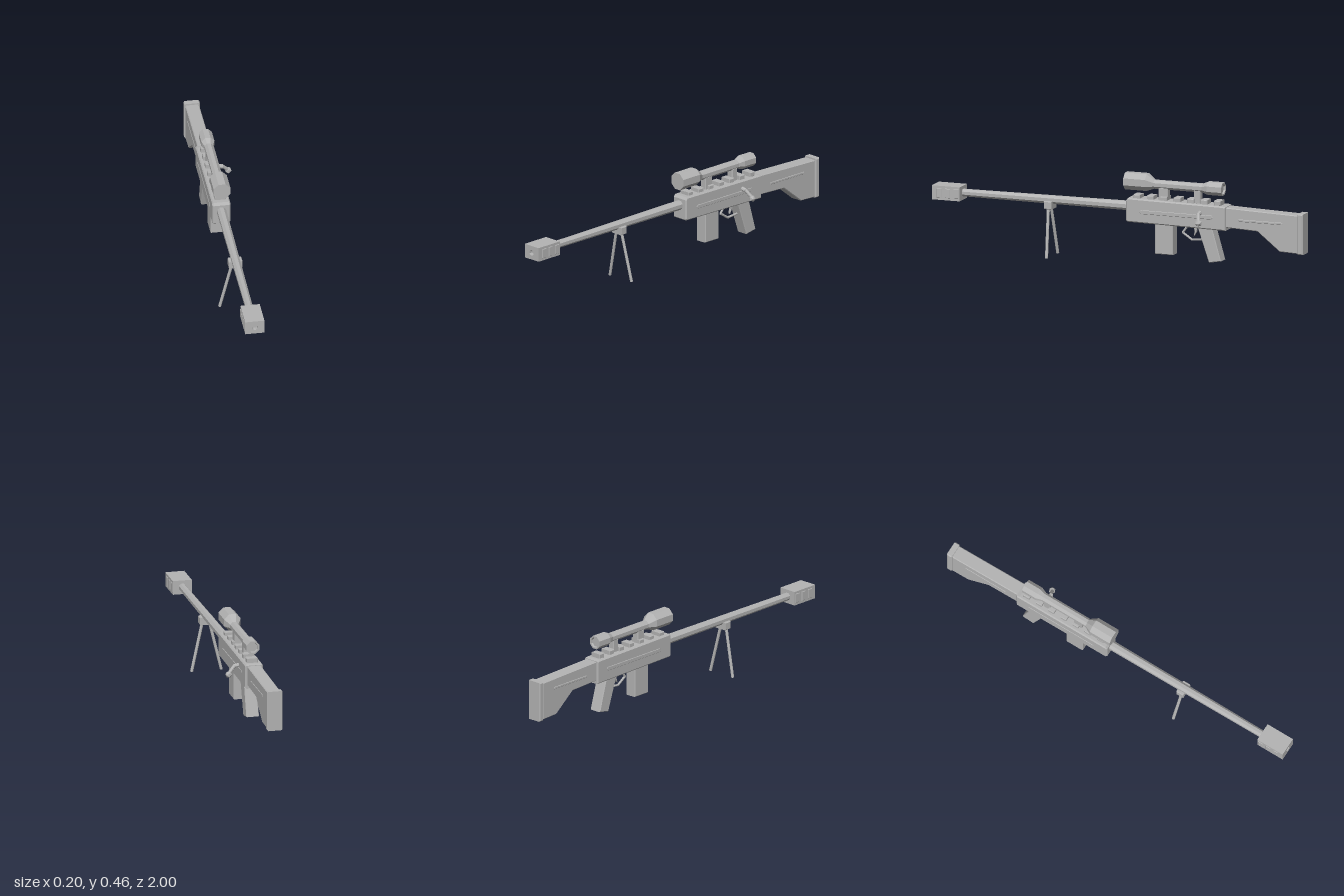
import * as THREE from 'three';

const metal = new THREE.MeshStandardMaterial({ color: 0xb4b4b4 });
metal.name = 'plainGrey';

function add(parent, name, geometry) {
  const mesh = new THREE.Mesh(geometry, metal);
  mesh.name = name;
  parent.add(mesh);
  return mesh;
}

// Side profile of [z, y] points, extruded across x with bevelled edges
function slab(points, width, bevel = 0.004) {
  const shape = new THREE.Shape(points.map(([z, y]) => new THREE.Vector2(z, y)));
  const g = new THREE.ExtrudeGeometry(shape, {
    depth: width - 2 * bevel, bevelEnabled: true, bevelSegments: 1,
    bevelSize: bevel, bevelThickness: bevel, bevelOffset: -bevel,
  });
  g.translate(0, 0, -(width - 2 * bevel) / 2);
  return g.rotateY(-Math.PI / 2);
}

const block = (z0, z1, y0, y1, width, bevel) =>
  slab([[z0, y0], [z1, y0], [z1, y1], [z0, y1]], width, bevel);

// Eight-sided flat-shaded tube through rings of [z, centre y, half width], front to back
function octTube(rings) {
  const pos = [];
  const point = ([z, cy, r], i) => {
    const a = (i + 0.5) * Math.PI / 4, c = r / Math.cos(Math.PI / 8);
    return [c * Math.cos(a), cy + c * Math.sin(a), z];
  };
  for (let k = 0; k < rings.length - 1; k++) {
    for (let i = 0; i < 8; i++) {
      const a = point(rings[k], i), b = point(rings[k], i + 1);
      const c = point(rings[k + 1], i), d = point(rings[k + 1], i + 1);
      pos.push(...a, ...c, ...b, ...b, ...c, ...d);
    }
  }
  const g = new THREE.BufferGeometry();
  g.setAttribute('position', new THREE.Float32BufferAttribute(pos, 3));
  g.computeVertexNormals();
  return g;
}

// Straight faceted rod between two points
function rod(a, b, r, sides = 8) {
  const p = new THREE.Vector3(...a), q = new THREE.Vector3(...b);
  const d = q.clone().sub(p);
  const g = new THREE.CylinderGeometry(r, r, d.length(), sides).toNonIndexed();
  g.computeVertexNormals();
  g.applyQuaternion(new THREE.Quaternion().setFromUnitVectors(
    new THREE.Vector3(0, 1, 0), d.normalize()));
  return g.translate(...p.add(q).multiplyScalar(0.5).toArray());
}

export function createModel() {
  const root = new THREE.Group();
  root.name = 'rifle';
  const body = new THREE.Group();
  body.name = 'body';
  body.position.x = -0.018;
  root.add(body);

  // Muzzle block with an eight-sided bore and raised side ribs
  const face = new THREE.Shape([[-0.049, 0.253], [0.049, 0.253], [0.049, 0.325], [-0.049, 0.325]]
    .map(([x, y]) => new THREE.Vector2(x, y)));
  const bore = [];
  for (let i = 0; i < 8; i++) {
    const a = (i + 0.5) * Math.PI / 4;
    bore.push(new THREE.Vector2(0.016 * Math.cos(a), 0.289 + 0.016 * Math.sin(a)));
  }
  face.holes.push(new THREE.Path(bore));
  add(body, 'muzzleBlock', new THREE.ExtrudeGeometry(face, { depth: 0.15, bevelEnabled: false }))
    .position.z = 0.85;
  for (const z of [0.96, 0.915, 0.87]) {
    add(body, 'muzzleRib', block(z - 0.014, z + 0.014, 0.265, 0.313, 0.104, 0.002));
  }

  // Tapered barrel
  add(body, 'barrel', octTube([
    [0.98, 0.29, 0], [0.98, 0.29, 0.017], [0.85, 0.29, 0.018], [-0.06, 0.291, 0.023],
  ]));

  // Receiver with raised side strips
  add(body, 'receiver', slab([
    [-0.045, 0.222], [-0.052, 0.216], [-0.582, 0.208], [-0.582, 0.329],
    [-0.565, 0.332], [-0.055, 0.338], [-0.045, 0.325],
  ].reverse(), 0.092, 0.006));
  add(body, 'receiverStrip', slab([
    [-0.12, 0.272], [-0.126, 0.282], [-0.508, 0.282],
    [-0.514, 0.272], [-0.508, 0.262], [-0.126, 0.262],
  ], 0.096, 0.002));

  // Rail teeth along the top
  for (let i = 0; i < 7; i++) {
    const z = -0.097 - i * 0.0725;
    add(body, 'railTooth', block(z - 0.018, z + 0.018, 0.33, 0.355, 0.058, 0.003));
  }

  // Scope and its two mounts
  add(body, 'scope', octTube([
    [-0.03, 0.419, 0], [-0.03, 0.419, 0.043], [-0.147, 0.419, 0.043], [-0.185, 0.411, 0.022],
    [-0.445, 0.411, 0.022], [-0.475, 0.413, 0.033], [-0.555, 0.413, 0.033],
    [-0.555, 0.413, 0.025], [-0.545, 0.413, 0.023], [-0.545, 0.413, 0],
  ]));
  add(body, 'frontScopeMount', block(-0.26, -0.21, 0.33, 0.4, 0.036));
  add(body, 'rearScopeMount', block(-0.437, -0.4, 0.33, 0.4, 0.036));

  // Stock, raised strips and butt pad
  add(body, 'stock', slab([
    [-0.575, 0.326], [-0.97, 0.314], [-0.97, 0.118], [-0.87, 0.122],
    [-0.75, 0.217], [-0.575, 0.224],
  ], 0.07, 0.004));
  add(body, 'stockStrip', block(-0.89, -0.65, 0.26, 0.272, 0.074, 0.002));
  add(body, 'buttPad', block(-0.998, -0.968, 0.115, 0.322, 0.08, 0.005));

  // Magazine, grip, trigger and guard
  add(body, 'magazine', block(-0.294, -0.197, 0.06, 0.22, 0.064));
  add(body, 'grip', slab([
    [-0.427, 0.215], [-0.505, 0.215], [-0.553, 0.048], [-0.488, 0.036],
  ], 0.066));
  const guard = [[-0.365, 0.215], [-0.335, 0.175], [-0.385, 0.142], [-0.46, 0.148]];
  for (let i = 0; i < 3; i++) {
    add(body, 'triggerGuard', rod([0, guard[i][1], guard[i][0]],
      [0, guard[i + 1][1], guard[i + 1][0]], 0.006));
  }
  add(body, 'trigger', slab([
    [-0.395, 0.215], [-0.415, 0.215], [-0.412, 0.185], [-0.396, 0.16], [-0.402, 0.185],
  ], 0.014, 0.001));

  // Bolt handle on the model's left
  add(body, 'boltBase', rod([0.04, 0.293, -0.445], [0.07, 0.287, -0.445], 0.011));
  add(body, 'boltArm', rod([0.066, 0.291, -0.445], [0.1, 0.254, -0.458], 0.009));
  add(body, 'boltKnob', new THREE.IcosahedronGeometry(0.018, 0))
    .position.set(0.101, 0.25, -0.46);

  // Bipod
  add(body, 'bipodBracket', block(0.36, 0.402, 0.245, 0.285, 0.07, 0.003));
  for (const side of [-1, 1]) {
    add(body, 'bipodLeg', rod([side * 0.019, 0.25, 0.383], [side * 0.077, 0.002, 0.37], 0.0078));
  }
  return root;
}
